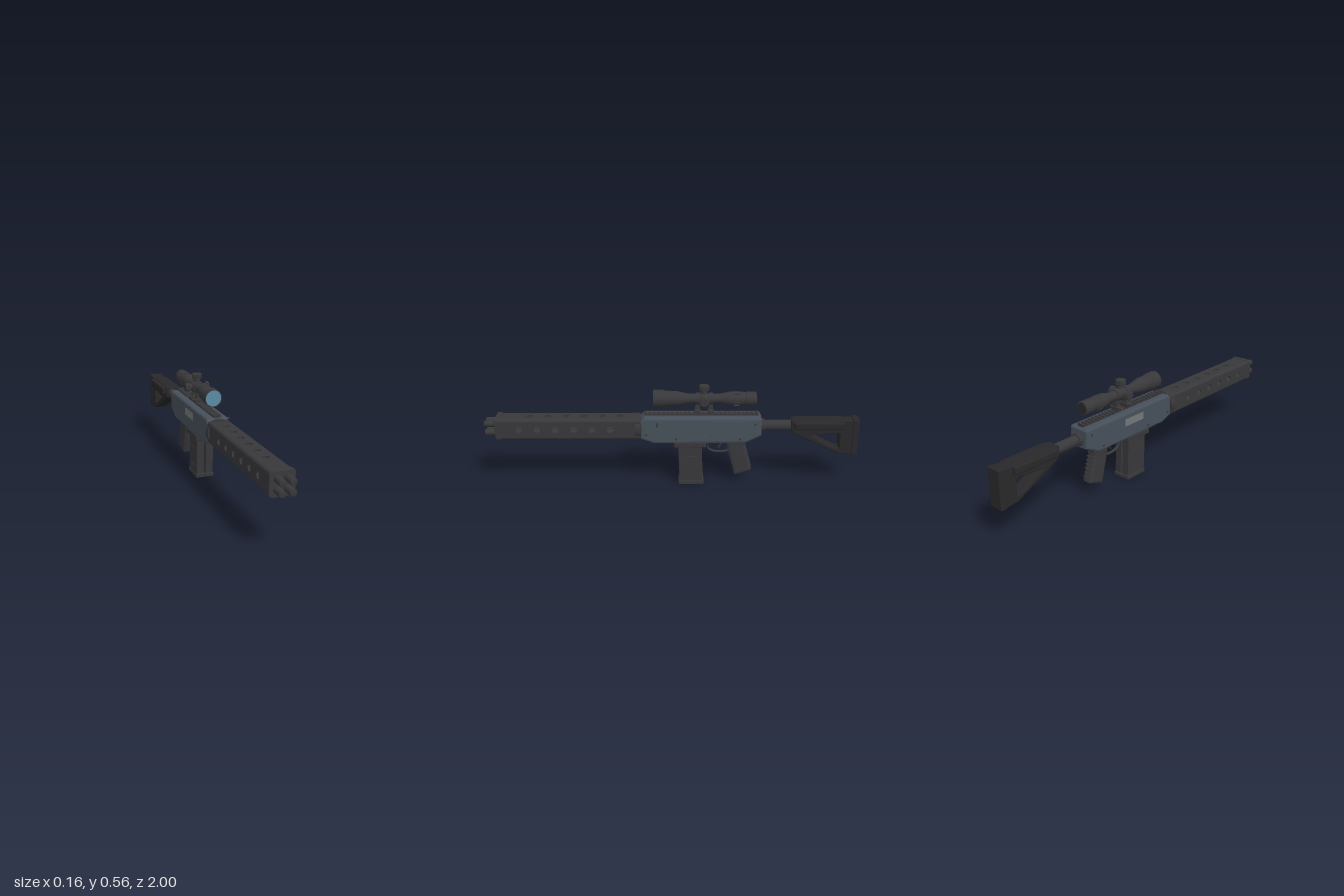
import * as THREE from 'three';
import { RoundedBoxGeometry } from 'three/addons/geometries/RoundedBoxGeometry.js';

const mat = (c, side = THREE.FrontSide) => new THREE.MeshStandardMaterial({ color: c, side });
const DARK = mat(0x38373a), BLACK = mat(0x28282a), STEEL = mat(0x46505a), PORT = mat(0x73787a);
const LENS = mat(0x5a8ba3), RED = mat(0xa03a28), THIN = mat(0x38373a, THREE.DoubleSide);

function add(parent, name, geo, m, x = 0, y = 0, z = 0) {
  const mesh = new THREE.Mesh(geo, m);
  mesh.name = name;
  mesh.position.set(x, y, z);
  parent.add(mesh);
  return mesh;
}
const box = (w, h, d, r = 0) => r ? new RoundedBoxGeometry(w, h, d, 2, r) : new THREE.BoxGeometry(w, h, d);

// Cylinders along z and along x
const cylZ = (r, len, n = 24) => new THREE.CylinderGeometry(r, r, len, n).rotateX(Math.PI / 2);
const cylX = (r, len, n = 24) => new THREE.CylinderGeometry(r, r, len, n).rotateZ(Math.PI / 2);

// Side profile given as [z, y] points, extruded across x and centred
function sideExtrude(pts, width, bevel = 0.004, hole = null) {
  const shape = new THREE.Shape(pts.map(p => new THREE.Vector2(...p)));
  if (hole) shape.holes.push(new THREE.Path(hole.map(p => new THREE.Vector2(...p))));
  const depth = width - 2 * bevel;
  return new THREE.ExtrudeGeometry(shape, {
    depth, bevelEnabled: bevel > 0, bevelThickness: bevel, bevelSize: bevel, bevelOffset: -bevel, bevelSegments: 2
  }).translate(0, 0, -depth / 2).rotateY(-Math.PI / 2);
}

// Fluted turret knob, axis along y, base at 0
function knob(r, h) {
  const s = new THREE.Shape();
  const n = 72;
  for (let i = 0; i < n; i++) {
    const a = i / n * Math.PI * 2, q = i % 4 < 2 ? r : r * 0.93;
    s[i ? 'lineTo' : 'moveTo'](Math.cos(a) * q, Math.sin(a) * q);
  }
  return new THREE.ExtrudeGeometry(s, {
    depth: h - 0.004, bevelThickness: 0.002, bevelSize: 0.002, bevelOffset: -0.002, bevelSegments: 1
  }).translate(0, 0, 0.002).rotateX(-Math.PI / 2);
}

function buildHandguard() {
  const g = new THREE.Group();
  g.name = 'handguard';
  g.position.y = 0.329;
  const z0 = 0.17, len = 0.76, half = 0.058, c = 0.016, w = half - c;
  // Four perforated walls joined by rounded corners
  for (let k = 0; k < 4; k++) {
    const s = new THREE.Shape([[-w, 0], [w, 0], [w, len], [-w, len]].map(p => new THREE.Vector2(...p)));
    for (let i = 0; i < 6; i++) {
      const h = new THREE.Path();
      h.absarc(0, (k % 2 ? 0.33 : 0.28) - z0 + i * 0.097, 0.018, 0, Math.PI * 2, true);
      s.holes.push(h);
    }
    const wall = new THREE.ExtrudeGeometry(s, { depth: 0.008, bevelEnabled: false, curveSegments: 20 })
      .rotateX(Math.PI / 2).translate(0, half, z0);
    const corner = new THREE.CylinderGeometry(c, c, len, 6, 1, true, Math.PI / 2, Math.PI / 2)
      .rotateX(Math.PI / 2).translate(w, w, z0 + len / 2);
    add(g, 'handguardWall', wall, DARK).rotation.z = k * Math.PI / 2;
    add(g, 'handguardCorner', corner, THIN).rotation.z = k * Math.PI / 2;
  }
  // Front cap and rear collar
  const r = 0.062, cap = new THREE.Shape();
  for (let k = 0; k < 4; k++) {
    const a = k * Math.PI / 2, q = (r - 0.018) * Math.SQRT2, m = a + Math.PI / 4;
    cap.absarc(Math.cos(m) * q, Math.sin(m) * q, 0.018, a, a + Math.PI / 2);
  }
  add(g, 'frontCap', new THREE.ExtrudeGeometry(cap, {
    depth: 0.02, bevelThickness: 0.004, bevelSize: 0.004, bevelOffset: -0.004, bevelSegments: 2, curveSegments: 6
  }), DARK, 0, 0, 0.918);
  add(g, 'rearCollar', cylZ(0.068, 0.03, 40), DARK, 0, 0, 0.182);
  // Four barrels with wider muzzles
  const profile = [[0, 0.15], [0.014, 0.15], [0.014, 0.92], [0.0175, 0.925], [0.0175, 0.997], [0.015, 1], [0, 1]];
  for (const x of [-0.025, 0.025]) for (const y of [-0.025, 0.025])
    add(g, 'barrel', new THREE.LatheGeometry(profile.map(p => new THREE.Vector2(...p)), 20).rotateX(Math.PI / 2), DARK, x, y);
  return g;
}

function buildReceiver() {
  const g = new THREE.Group();
  g.name = 'receiver';
  add(g, 'receiverBody', sideExtrude([[0.17, 0.275], [0.1, 0.25], [-0.39, 0.25], [-0.475, 0.292], [-0.475, 0.385],
    [-0.465, 0.395], [0.15, 0.395], [0.17, 0.375]], 0.118, 0.011), STEEL);
  add(g, 'sidePanel', sideExtrude([[-0.21, 0.29], [-0.4, 0.29], [-0.4, 0.38], [-0.21, 0.38]], 0.003, 0.001), STEEL, 0.0585);
  add(g, 'ejectionPort', box(0.004, 0.04, 0.14), PORT, -0.0585, 0.345, -0.13);
  add(g, 'portFrame', box(0.003, 0.052, 0.155), STEEL, -0.0585, 0.345, -0.13);
  for (const [z, y] of [[0.14, 0.3], [-0.02, 0.275], [-0.36, 0.275], [-0.44, 0.36]])
    add(g, 'pin', cylX(0.006, 0.122, 12), DARK, 0, y, z);
  add(g, 'chargingHandle', cylX(0.006, 0.05, 16), DARK, 0.071, 0.364, 0.08);
  // Toothed top rail
  add(g, 'railBase', box(0.036, 0.01, 0.61), DARK, 0, 0.396, -0.155);
  for (let i = 0; i < 26; i++) add(g, 'railTooth', box(0.044, 0.01, 0.013), DARK, 0, 0.404, 0.143 - i * 0.0238);
  return g;
}

function buildMagazines() {
  const g = new THREE.Group();
  g.name = 'magazines';
  add(g, 'magazineWell', box(0.118, 0.03, 0.17, 0.005), DARK, 0, 0.24, -0.095);
  for (const x of [-0.0255, 0.0255]) {
    add(g, 'magazine', sideExtrude([[-0.03, 0.25], [-0.04, 0.01], [-0.168, 0.01], [-0.158, 0.25]], 0.043), DARK, x);
    add(g, 'magazineFoot', box(0.05, 0.023, 0.138, 0.005), DARK, x, 0.0115, -0.104);
    for (const y of [0.06, 0.165])
      add(g, 'magazineRib', box(0.004, 0.006, 0.07), DARK, x + Math.sign(x) * 0.022, y, -0.1);
  }
  add(g, 'magazineJoiner', box(0.012, 0.19, 0.08), BLACK, 0, 0.135, -0.11);
  return g;
}

function buildGrip() {
  const g = new THREE.Group();
  g.name = 'gripAndTrigger';
  add(g, 'grip', sideExtrude([[-0.285, 0.26], [-0.3, 0.2], [-0.338, 0.052], [-0.345, 0.046], [-0.428, 0.072], [-0.432, 0.08],
    [-0.39, 0.22], [-0.395, 0.26]], 0.056, 0.012), DARK);
  // Ridges around the grip
  for (let i = 0; i < 7; i++) {
    const t = i / 6;
    add(g, 'gripRidge', box(0.05, 0.006, 0.1, 0.002), DARK, 0, 0.215 - 0.125 * t, -0.346 - 0.036 * t).rotation.x = 0.27;
  }
  const path = new THREE.CatmullRomCurve3([[0.255, -0.19], [0.2, -0.195], [0.182, -0.225], [0.18, -0.28], [0.186, -0.31]]
    .map(([y, z]) => new THREE.Vector3(0, y, z)));
  add(g, 'triggerGuard', new THREE.TubeGeometry(path, 24, 0.005, 8).scale(2, 1, 1), DARK);
  const tr = new THREE.CatmullRomCurve3([[0.255, -0.25], [0.225, -0.262], [0.2, -0.25]].map(([y, z]) => new THREE.Vector3(0, y, z)));
  add(g, 'trigger', new THREE.TubeGeometry(tr, 12, 0.005, 8), DARK);
  return g;
}

function buildStock() {
  const g = new THREE.Group();
  g.name = 'stock';
  add(g, 'bufferTube', cylZ(0.028, 0.3), DARK, 0, 0.333, -0.6);
  add(g, 'bufferCollar', cylZ(0.034, 0.025), DARK, 0, 0.333, -0.483);
  add(g, 'stockFrame', sideExtrude([[-0.635, 0.365], [-0.635, 0.31], [-0.655, 0.293], [-0.9, 0.176], [-0.97, 0.172], [-0.97, 0.37], [-0.645, 0.37]],
    0.074, 0.007, [[-0.74, 0.286], [-0.89, 0.296], [-0.9, 0.288], [-0.9, 0.214], [-0.885, 0.21], [-0.84, 0.23]]), BLACK);
  for (const x of [-0.04, 0.04])
    add(g, 'sideTube', box(0.036, 0.042, 0.27, 0.01), BLACK, x, 0.344, -0.785);
  add(g, 'buttPad', box(0.08, 0.206, 0.036, 0.007), BLACK, 0, 0.272, -0.982);
  return g;
}

function buildScope() {
  const g = new THREE.Group();
  g.name = 'scope';
  g.position.y = 0.485;
  const profile = [[0, -0.445], [0.034, -0.445], [0.037, -0.441], [0.037, -0.392], [0.034, -0.39], [0.034, -0.375], [0.037, -0.373], [0.037, -0.3],
    [0.033, -0.285], [0.026, -0.25], [0.026, -0.09], [0.03, -0.07], [0.041, -0.02], [0.042, 0.04], [0.047, 0.045], [0.047, 0.1], [0.043, 0.1], [0.043, 0.09], [0, 0.09]];
  // Each profile segment is its own band, so the steps stay crisp
  for (let i = 0; i + 1 < profile.length; i++)
    add(g, 'scopeTube', new THREE.LatheGeometry([profile[i], profile[i + 1]].map(p => new THREE.Vector2(...p)), 32).rotateX(Math.PI / 2), THIN);
  add(g, 'frontLens', cylZ(0.0435, 0.006, 32), LENS, 0, 0, 0.094);
  add(g, 'eyeLens', cylZ(0.029, 0.004, 32), BLACK, 0, 0, -0.445);
  for (let i = 0; i < 20; i++) {
    const a = i / 20 * Math.PI * 2;
    add(g, 'zoomRingRib', box(0.004, 0.004, 0.03), DARK, Math.cos(a) * 0.037, Math.sin(a) * 0.037, -0.34).rotation.z = a;
  }
  // Turrets on top and both sides
  add(g, 'turretBlock', new THREE.SphereGeometry(0.036, 24, 16), DARK, 0, 0, -0.168);
  add(g, 'topStem', new THREE.CylinderGeometry(0.018, 0.018, 0.05, 24), DARK, 0, 0.03, -0.168);
  add(g, 'sideStem', cylX(0.017, 0.12), DARK, 0, 0, -0.168);
  add(g, 'topTurret', knob(0.027, 0.027), DARK, 0, 0.047, -0.168);
  add(g, 'rightTurret', knob(0.023, 0.026), DARK, -0.042, 0, -0.168).rotation.z = Math.PI / 2;
  add(g, 'leftTurret', knob(0.025, 0.016), DARK, 0.051, 0, -0.168).rotation.z = -Math.PI / 2;
  // Mounting rings clamped to the rail
  for (const z of [-0.135, -0.205]) {
    add(g, 'mountRing', cylZ(0.031, 0.022), DARK, 0, 0, z);
    add(g, 'mountPost', box(0.032, 0.035, 0.022), DARK, 0, -0.044, z);
    add(g, 'mountClamp', box(0.06, 0.016, 0.03, 0.004), DARK, 0, -0.065, z);
    add(g, 'mountFoot', box(0.046, 0.016, 0.026), DARK, 0, -0.077, z);
    add(g, 'clampScrew', cylX(0.006, 0.014, 12), DARK, -0.035, -0.065, z);
  }
  add(g, 'redMark', cylX(0.005, 0.002, 12), RED, -0.043, -0.065, -0.205);
  return g;
}

export function createModel() {
  const model = new THREE.Group();
  model.name = 'rifle';
  const body = new THREE.Group();
  body.name = 'rifleBody';
  body.position.x = -0.014;
  body.add(buildHandguard(), buildReceiver(), buildMagazines(), buildGrip(), buildStock(), buildScope());
  model.add(body);
  return model;
}
